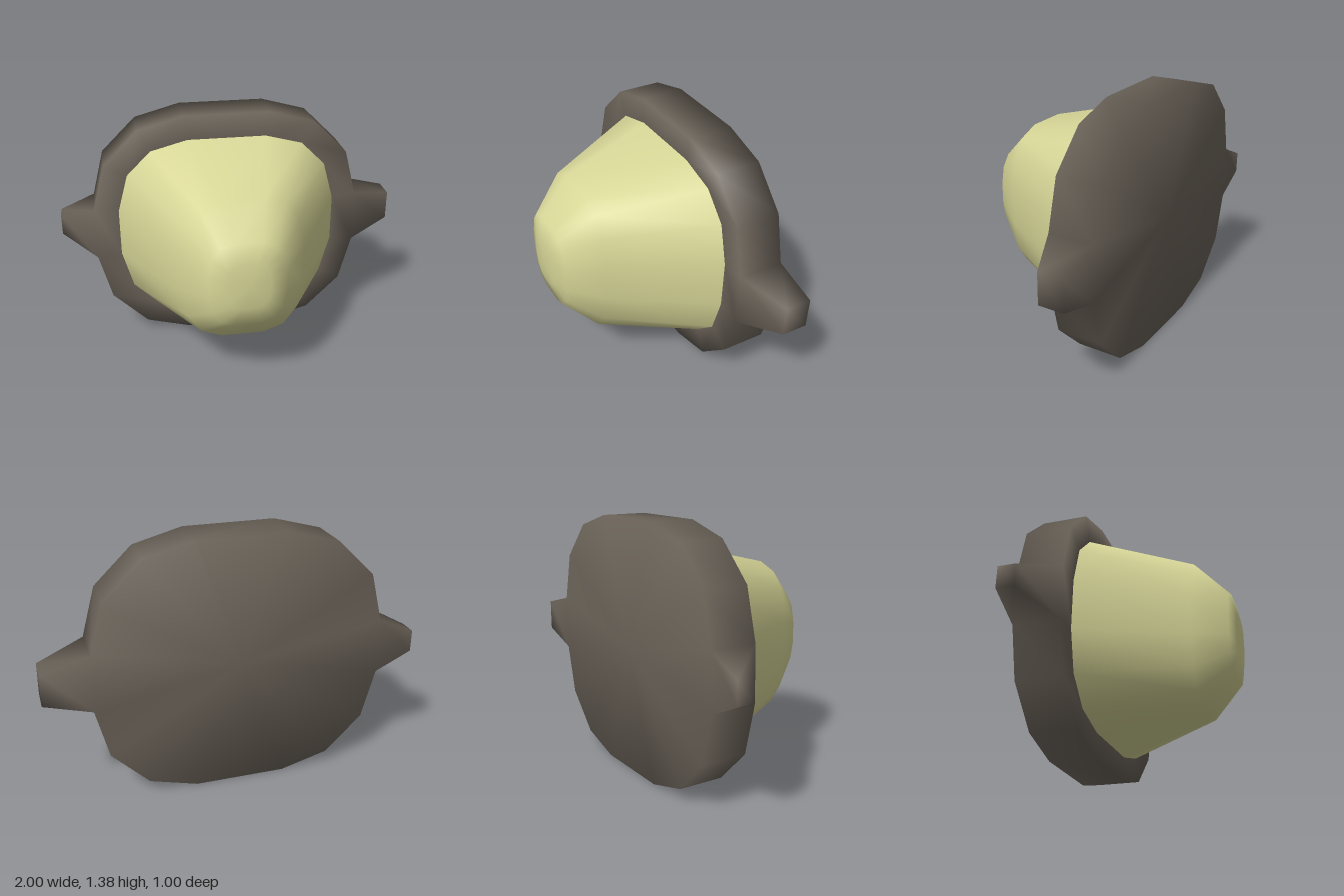
import * as THREE from 'three';

const CX = -0.025, CY = 0.69;

// Mirror a quarter outline (top to side) into a 16-point loop, counterclockwise from the front
function ring(quarter, z, sx = 1, sy = 1) {
  const rev = [...quarter].reverse();
  const place = (pts, mx, my) => pts.map(([x, y]) => [CX + x * sx * mx, CY + y * sy * my, z]);
  return [...place(rev, 1, 1), ...place(quarter, -1, 1), ...place(rev, -1, -1), ...place(quarter, 1, -1)];
}

// Join consecutive 16-point rings; skip(ring, side) leaves a gap
function loft(faces, count, skip = () => false) {
  const n = 16;
  for (let r = 0; r < count - 1; r++) {
    for (let i = 0; i < n; i++) {
      if (skip(r, i)) continue;
      const j = (i + 1) % n, a = r * n, b = a + n;
      faces.push(a + i, a + j, b + j, a + i, b + j, b + i);
    }
  }
}

function build(points, faces, material, name) {
  const g = new THREE.BufferGeometry();
  g.setAttribute('position', new THREE.Float32BufferAttribute(points.flat(), 3));
  g.setIndex(faces);
  g.computeVertexNormals();
  const mesh = new THREE.Mesh(g, material);
  mesh.name = name;
  return mesh;
}

export function createModel() {
  const darkGrey = new THREE.MeshStandardMaterial({ color: 0x6b6359 });
  darkGrey.name = 'dark warm grey';
  const paleYellow = new THREE.MeshStandardMaterial({ color: 0xd8d798 });
  paleYellow.name = 'pale yellow';

  const plateQuarter = [[0.245, 0.688], [0.505, 0.617], [0.705, 0.42], [0.775, 0.152]];
  const domeQuarter = [[0.225, 0.548], [0.437, 0.492], [0.575, 0.355], [0.635, 0.137]];

  // Back plate: back loop, front loop and the rim around the dome
  const pts = [...ring(plateQuarter, -0.5), ...ring(plateQuarter, -0.25), ...ring(domeQuarter, -0.25)];
  const faces = [];
  loft(faces, 3, (r, i) => r === 0 && (i === 15 || i === 7));
  const back = pts.push([CX, CY, -0.5]) - 1;
  for (let i = 0; i < 16; i++) faces.push((i + 1) % 16, i, back);

  // Tapered lugs growing out of both side walls
  const lug = (i, j, x, yi, yj, zFront) => {
    const base = [i, j, 16 + j, 16 + i];
    const t = pts.length;
    pts.push([x, yi, -0.5], [x, yj, -0.5], [x, yj, zFront], [x, yi, zFront]);
    for (let k = 0; k < 4; k++) {
      const m = (k + 1) % 4;
      faces.push(base[k], base[m], t + m, base[k], t + m, t + k);
    }
    faces.push(t, t + 1, t + 2, t, t + 2, t + 3);
  };
  lug(15, 0, 1, 0.61, 0.78, -0.36);
  lug(7, 8, -1, 0.755, 0.635, -0.405);

  // Tapering dome with a rounded nose
  const domePts = [[-0.25, 1, 1], [0.29, 0.53, 0.763], [0.465, 0.33, 0.44], [0.49, 0.18, 0.24]]
    .flatMap(([z, sx, sy]) => ring(domeQuarter, z, sx, sy));
  const domeFaces = [];
  loft(domeFaces, 4);
  const tip = domePts.push([CX, CY, 0.5]) - 1;
  for (let i = 0; i < 16; i++) domeFaces.push(48 + i, 48 + (i + 1) % 16, tip);

  const model = new THREE.Group();
  model.name = 'lamp';
  model.add(build(pts, faces, darkGrey, 'backPlateWithLugs'));
  model.add(build(domePts, domeFaces, paleYellow, 'dome'));
  return model;
}
